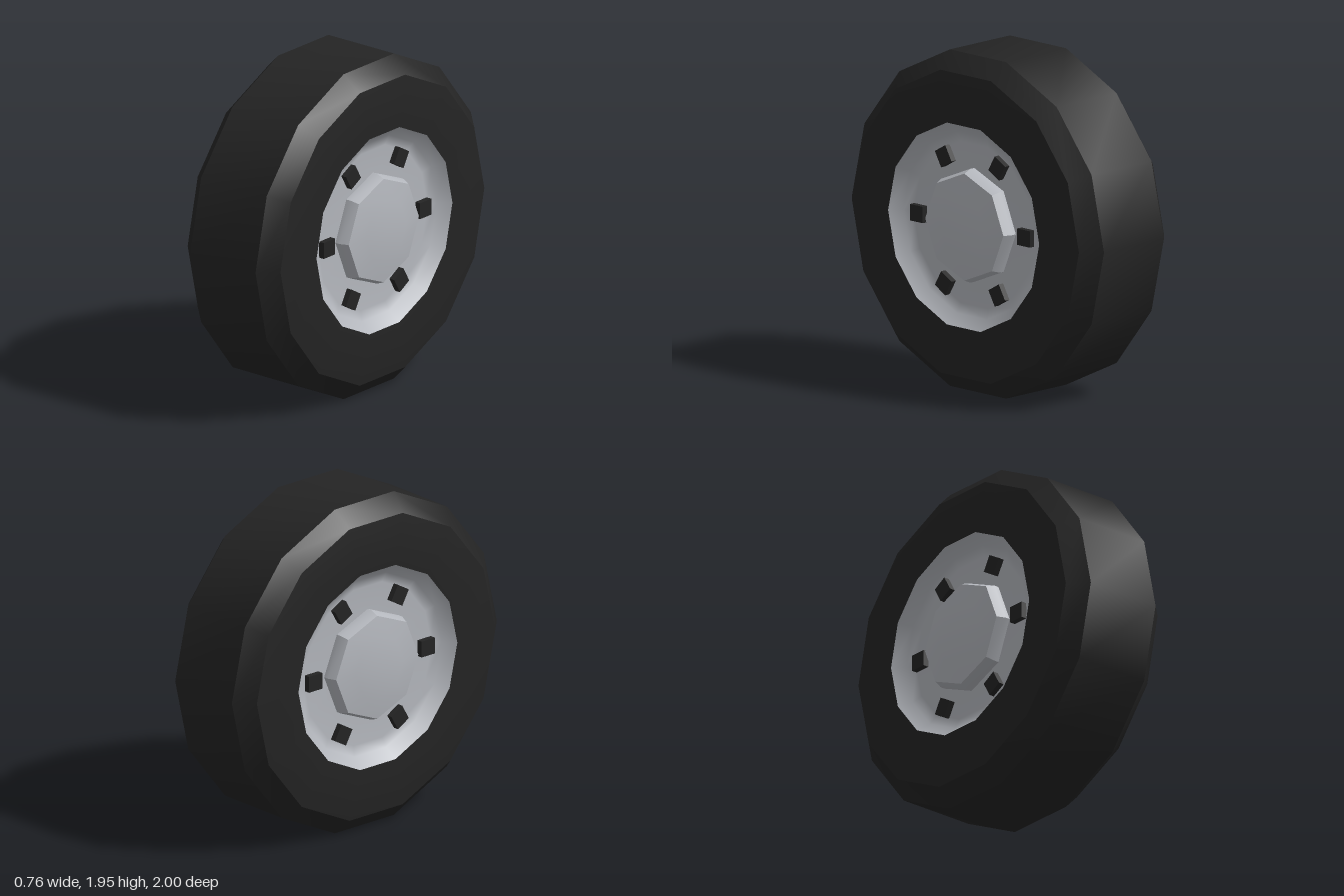
import * as THREE from 'three';
import { toCreasedNormals } from 'three/addons/utils/BufferGeometryUtils.js';

// Revolves [radius, x] points around the x axis
function turned(points, sides) {
  const profile = points.map(([r, x]) => new THREE.Vector2(r, x));
  return new THREE.LatheGeometry(profile, sides).rotateZ(-Math.PI / 2);
}

export function createModel() {
  const rubber = new THREE.MeshStandardMaterial({ color: 0x242424 });
  rubber.name = 'black rubber';
  const metal = new THREE.MeshStandardMaterial({ color: 0xb4b7bd });
  metal.name = 'silver metal';

  const model = new THREE.Group();
  model.name = 'wheel';
  const add = (parent, name, geometry, material) => {
    const mesh = new THREE.Mesh(geometry, material);
    mesh.name = name;
    parent.add(mesh);
    return mesh;
  };

  // Tire: outer half of the section, mirrored to the other side
  const half = [[1, 0.24], [0.9, 0.34], [0.75, 0.36], [0.6, 0.355]];
  const section = [...half.map(([r, x]) => [r, -x]).reverse(), ...half];
  add(model, 'tire', toCreasedNormals(turned(section, 14), Math.PI / 6), rubber);

  // Dished rim, domed hub cap and square bolts on each side
  const dish = turned([[0.6, 0.355], [0.54, 0.29], [0.48, 0.27], [0.25, 0.27]], 14);
  const cap = toCreasedNormals(
    turned([[0.33, 0.26], [0.33, 0.3], [0.31, 0.35], [0.18, 0.368], [0, 0.378]], 8),
    Math.PI / 6
  );
  const bolt = new THREE.BoxGeometry(0.06, 0.095, 0.1);

  for (const side of [1, -1]) {
    const face = new THREE.Group();
    face.name = side > 0 ? 'leftFace' : 'rightFace';
    if (side < 0) face.rotation.y = Math.PI;
    add(face, 'rimDish', dish, metal);
    add(face, 'hubCap', cap, metal);
    for (let i = 0; i < 6; i++) {
      const a = (i * Math.PI) / 3;
      const mesh = add(face, 'bolt', bolt, rubber);
      mesh.position.set(0.275, 0.425 * Math.sin(a), 0.425 * Math.cos(a));
      mesh.rotation.x = -a;
    }
    model.add(face);
  }

  // Flat side of the tread rests on the ground
  model.children.forEach((part) => { part.position.y = Math.cos(Math.PI / 14); });
  return model;
}
